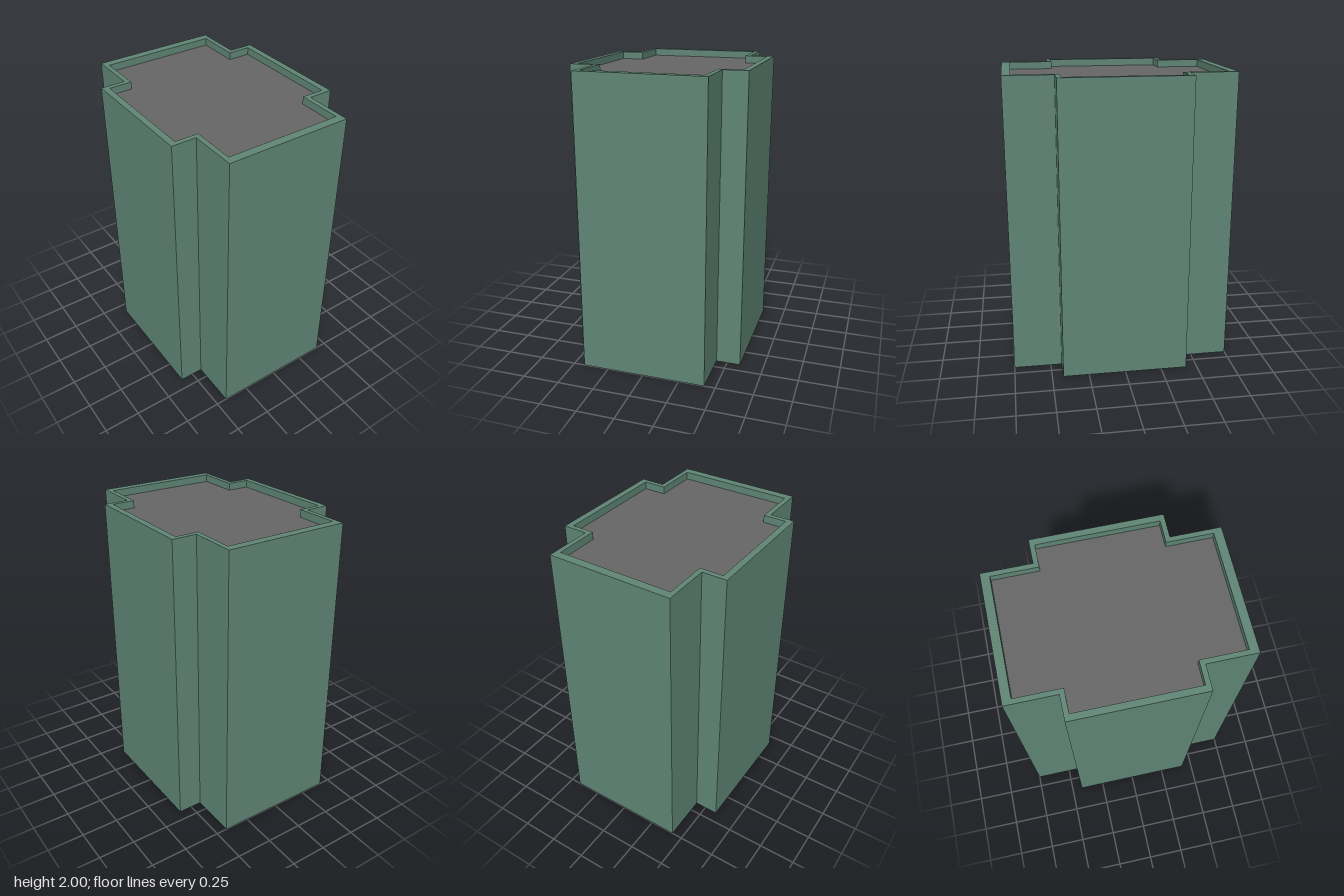
import * as THREE from 'three';

const HEIGHT = 2, ROOF_Y = 1.95;

// Cross-shaped outline: narrow wing (nx, z) runs front to back, wide wing (x, nz) side to side
function crossPoints(x, z, nx, nz) {
  return [
    [nx, -z], [nx, -nz], [x, -nz], [x, nz], [nx, nz], [nx, z],
    [-nx, z], [-nx, nz], [-x, nz], [-x, -nz], [-nx, -nz], [-nx, -z],
  ].map(([a, b]) => new THREE.Vector2(a, b));
}

export function createModel() {
  const group = new THREE.Group();
  group.name = 'crossPlanBuilding';
  const wallMat = new THREE.MeshStandardMaterial({ color: 0x5f8575, flatShading: true });
  const roofMat = new THREE.MeshStandardMaterial({ color: 0x666666, flatShading: true });

  const outer = crossPoints(0.59, 0.75, 0.425, 0.425);
  const inner = crossPoints(0.547, 0.693, 0.392, 0.392);

  const add = (name, geometry, material) => {
    const mesh = new THREE.Mesh(geometry, material);
    mesh.name = name;
    group.add(mesh);
  };

  // Walls, rising past the roof as a parapet
  const wallShape = new THREE.Shape(outer);
  wallShape.holes.push(new THREE.Path(inner));
  const walls = new THREE.ExtrudeGeometry(wallShape, { depth: HEIGHT, bevelEnabled: false });
  add('walls', walls.rotateX(-Math.PI / 2), wallMat);

  // Underside closing the walls
  const base = new THREE.ShapeGeometry(new THREE.Shape(inner));
  add('base', base.rotateX(Math.PI / 2), wallMat);

  // Flat roof set just below the parapet
  const roof = new THREE.ShapeGeometry(new THREE.Shape(inner));
  add('roof', roof.rotateX(-Math.PI / 2).translate(0, ROOF_Y, 0), roofMat);

  return group;
}
